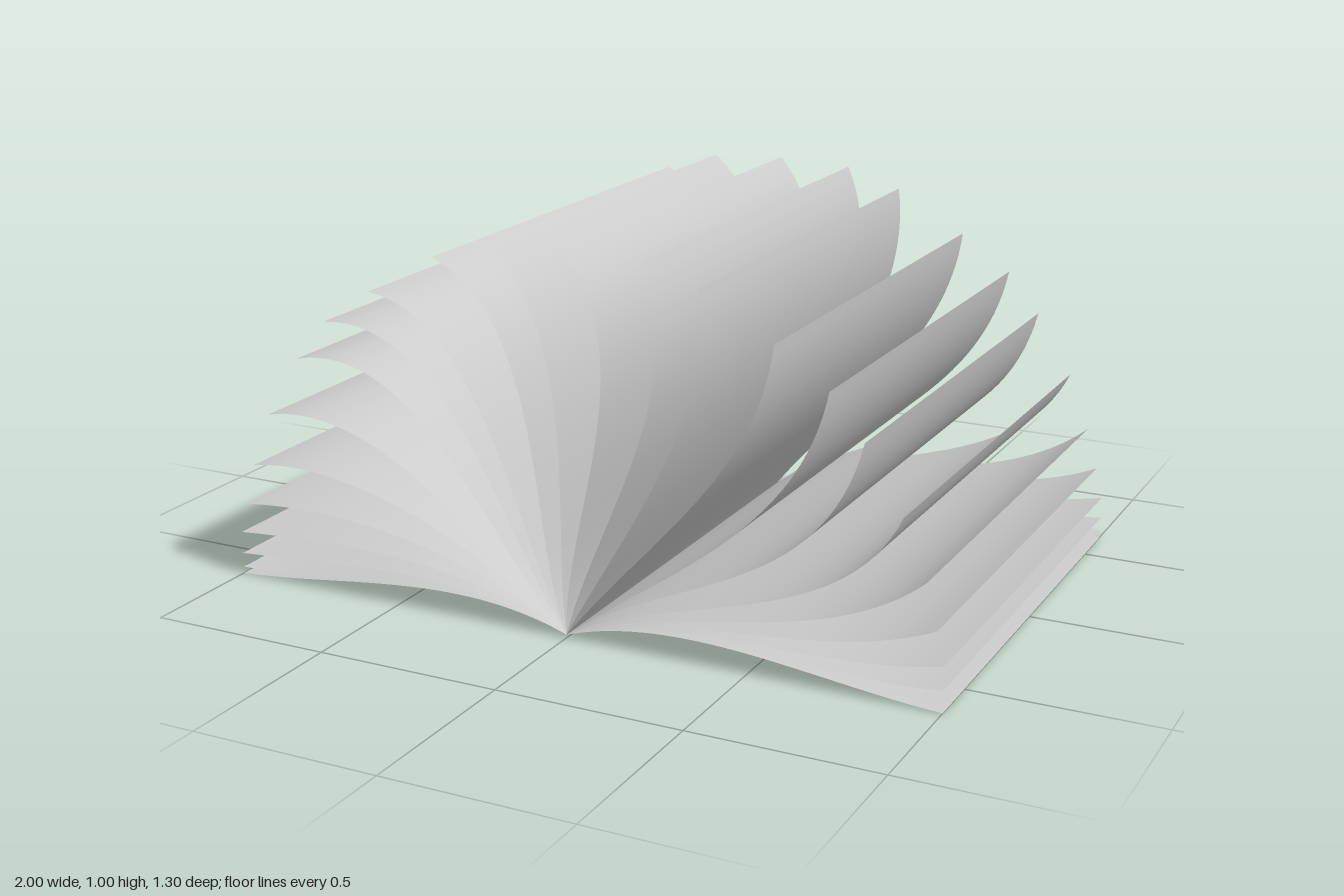
import * as THREE from 'three';

const DEPTH = 1.3;
const SPINE = new THREE.Vector2(0, 0.008);

// Each leaf bends through a point at 1/3 and at 2/3 of its width, then ends at its tip: [[x, y], [x, y], [x, y]]
const OUTER = [
  [[-0.33, 0.06], [-0.67, 0.034], [-1, 0]],
  [[-0.33, 0.064], [-0.67, 0.044], [-1, 0.018]],
];
const LEFT = [
  [[-0.33, 0.08], [-0.67, 0.08], [-1, 0.058]],
  [[-0.33, 0.11], [-0.66, 0.135], [-1, 0.118]],
  [[-0.31, 0.145], [-0.65, 0.208], [-0.98, 0.202]],
  [[-0.285, 0.185], [-0.62, 0.305], [-0.95, 0.315]],
  [[-0.25, 0.22], [-0.55, 0.42], [-0.89, 0.465]],
  [[-0.21, 0.265], [-0.46, 0.55], [-0.79, 0.63]],
  [[-0.17, 0.3], [-0.385, 0.62], [-0.7, 0.74]],
  [[-0.135, 0.33], [-0.3, 0.665], [-0.56, 0.835]],
  [[-0.07, 0.335], [-0.15, 0.7], [-0.365, 0.945]],
  [[-0.012, 0.345], [-0.045, 0.71], [-0.21, 0.995]],
];
const MIDDLE = [[0.05, 0.345], [0.105, 0.7], [0, 1.005]];
const RIGHT = [
  [[0.125, 0.335], [0.24, 0.67], [0.21, 0.995]],
  [[0.17, 0.3], [0.325, 0.62], [0.365, 0.945]],
  [[0.24, 0.28], [0.45, 0.54], [0.56, 0.835]],
  [[0.29, 0.215], [0.55, 0.44], [0.7, 0.74]],
  [[0.3, 0.17], [0.6, 0.33], [0.79, 0.63]],
  [[0.32, 0.13], [0.655, 0.24], [0.89, 0.465]],
  [[0.33, 0.105], [0.66, 0.17], [0.95, 0.315]],
  [[0.33, 0.088], [0.665, 0.12], [0.98, 0.202]],
  [[0.33, 0.075], [0.67, 0.082], [1, 0.118]],
  [[0.33, 0.068], [0.67, 0.055], [1, 0.058]],
];

const mirrored = (leaf) => leaf.map(([x, y]) => [-x, y]);

// Cubic curve from the spine through the three points of a leaf
function leafCurve(leaf) {
  const [a, b, tip] = leaf.map(([x, y]) => new THREE.Vector2(x, y));
  const mix = (p, q, near, far) => new THREE.Vector2()
    .addScaledVector(p, 3).addScaledVector(q, -1.5)
    .addScaledVector(far, 1 / 3).addScaledVector(near, -5 / 6);
  return new THREE.CubicBezierCurve(SPINE, mix(a, b, SPINE, tip), mix(b, a, tip, SPINE), tip);
}

// A flat sheet whose vertices are bent along the leaf curve
function makeLeaf(leaf, material) {
  const curve = leafCurve(leaf);
  const geometry = new THREE.PlaneGeometry(1, DEPTH, 32, 1);
  const pos = geometry.attributes.position;
  for (let i = 0; i < pos.count; i++) {
    const p = curve.getPoint(pos.getX(i) + 0.5);
    pos.setXYZ(i, p.x, p.y, -pos.getY(i));
  }
  geometry.computeVertexNormals();
  return new THREE.Mesh(geometry, material);
}

export function createModel() {
  const book = new THREE.Group();
  book.name = 'openBook';
  const paper = new THREE.MeshStandardMaterial({ color: 0xcccccc, side: THREE.DoubleSide });

  const add = (name, leaf) => {
    const mesh = makeLeaf(leaf, paper);
    mesh.name = name;
    book.add(mesh);
  };

  // Covers and endpapers lie flat and match on both sides
  ['Cover', 'Endpaper'].forEach((part, i) => {
    add('right' + part, OUTER[i]);
    add('left' + part, mirrored(OUTER[i]));
  });

  // Pages fanned out around the spine
  [...LEFT, MIDDLE, ...RIGHT].forEach((leaf, i) => add(`page${i + 1}`, leaf));

  return book;
}
